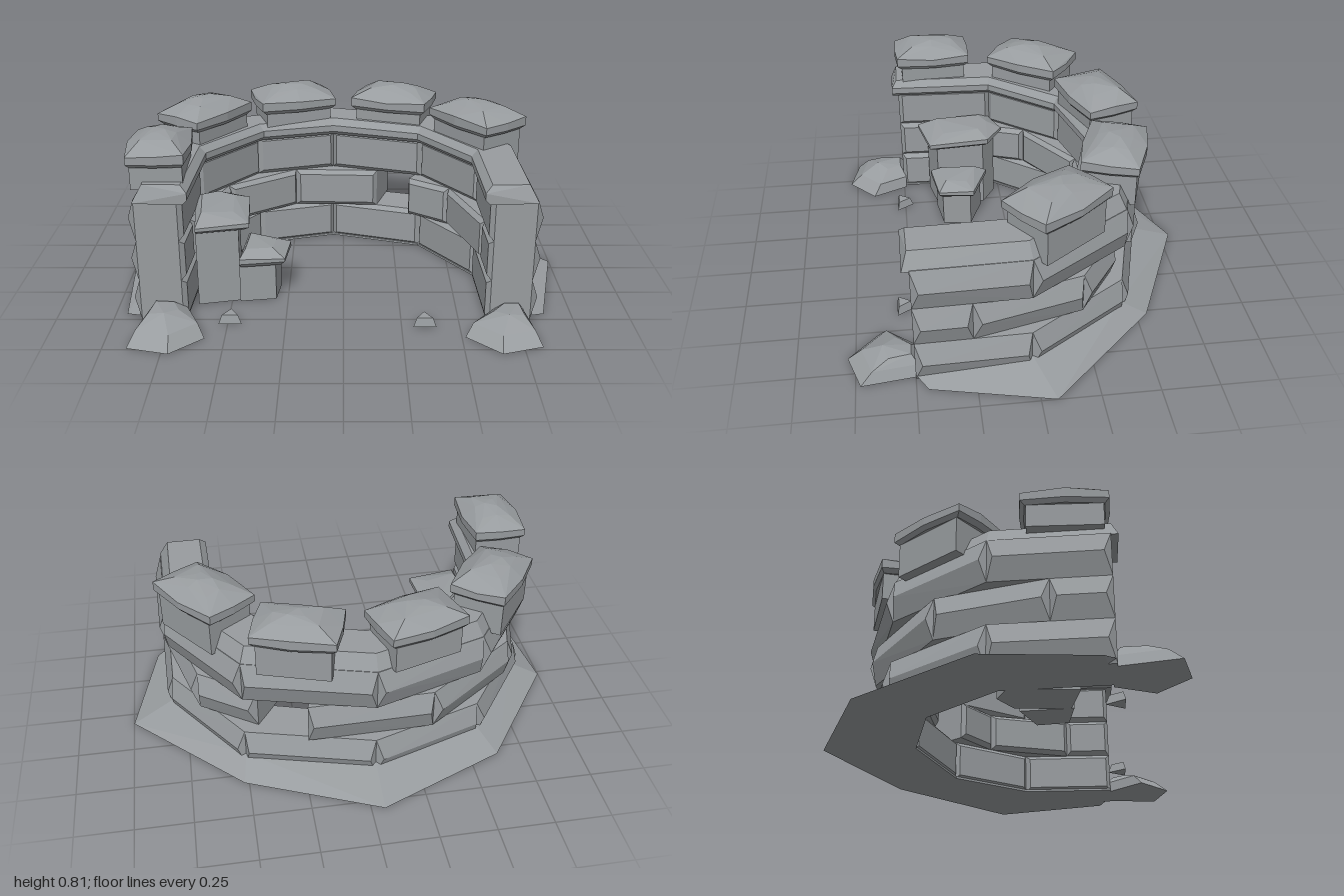
import * as THREE from 'three';
import { ConvexGeometry } from 'three/addons/geometries/ConvexGeometry.js';

const stone = new THREE.MeshStandardMaterial({ color: 0x989c9f });
stone.name = 'grey stone';

const V = (x, y, z) => new THREE.Vector3(x, y, z);

// Plan of the curved wall: [outerX, outerZ, innerX, innerZ], from the left end round to the right end
const nodes = [
  [0.81, 0.5, 0.62, 0.5],
  [0.80, 0.01, 0.61, 0.08],
  [0.50, -0.43, 0.375, -0.25],
  [-0.06, -0.58, -0.05, -0.38],
  [-0.56, -0.41, -0.41, -0.28],
  [-0.86, 0.01, -0.66, 0.04],
  [-0.875, 0.5, -0.68, 0.5],
];
const skirtRim = [[0.88, 0.45], [1, -0.07], [0.52, -0.55], [-0.06, -0.8], [-0.63, -0.55], [-1, -0.02], [-0.95, 0.45]];

const mix = (a, b, t) => a.map((v, i) => v + (b[i] - v) * t);

export function createModel() {
  const model = new THREE.Group();

  function hull(name, points) {
    const mesh = new THREE.Mesh(new ConvexGeometry(points), stone);
    mesh.name = name;
    model.add(mesh);
  }

  // Point on a brick: k = 0 outer face, 1 inner face; push moves it away from the wall core
  function at(a, b, t, k, push, y) {
    const n = mix(a, b, t);
    const d = V(n[0] - n[2], 0, n[1] - n[3]).normalize().multiplyScalar(k ? -push : push);
    return V(n[k * 2] + d.x, y, n[k * 2 + 1] + d.z);
  }

  // Wall brick with a pointed outer ridge and a bevelled inner face
  function brick(name, a, b, y0, y1) {
    const len = Math.hypot(a[0] - b[0], a[1] - b[1]);
    const p = [];
    for (const end of [0, 1]) {
      const inset = (d) => (end ? 1 - d / len : d / len);
      for (const y of [y0, y1]) {
        p.push(at(a, b, end, 0, 0, y), at(a, b, end, 1, -0.015, y));
        p.push(at(a, b, inset(0.02), 1, 0.005, y === y0 ? y0 + 0.02 : y1 - 0.02));
      }
      p.push(at(a, b, inset(0.03), 0, 0.033, (y0 + y1) / 2));
    }
    hull(name, p);
  }

  // Solid from a footprint repeated at several levels: [y, scale, shiftX, shiftZ]
  function stack(name, foot, levels, wobble = 0) {
    const cx = foot.reduce((s, p) => s + p[0], 0) / foot.length;
    const cz = foot.reduce((s, p) => s + p[1], 0) / foot.length;
    const p = [];
    levels.forEach(([y, s, dx = 0, dz = 0], j) => foot.forEach(([x, z], i) => {
      const w = j > 1 ? wobble * Math.sin(i * 2.3 + j * 1.7 + cx * 9) : 0;
      p.push(V(cx + (x - cx) * s + dx, y + w, cz + (z - cz) * s + dz));
    }));
    hull(name, p);
  }

  // Bottom and top courses share joints; the middle course is staggered
  for (let i = 0; i < 6; i++) {
    brick('bottomBrick', nodes[i], nodes[i + 1], 0, 0.19);
    brick('topBrick', nodes[i], nodes[i + 1], 0.375, 0.565);
  }
  const mids = [nodes[0]];
  for (let i = 0; i < 6; i++) {
    const m = mix(nodes[i], nodes[i + 1], 0.5);
    const out = i === 0 || i === 5 ? 1 : 1.05;
    mids.push([m[0] * out, m[1] * out, m[2], m[3]]);
  }
  mids.push(nodes[6]);
  for (let i = 0; i < 7; i++) {
    // The brick beside the window opening is cut short
    const end = i === 2 ? mix(mids[2], mids[3], 0.55) : mids[i + 1];
    brick('middleBrick', mids[i], end, 0.19, 0.375);
  }

  // Coping along the wall top, overhanging the inner side and both ends
  const cope = nodes.map((n, i) => (i % 6 ? n : [n[0], 0.53, n[2], 0.53]));
  for (let i = 0; i < 6; i++) {
    const p = [];
    for (const t of [0, 1]) {
      const tip = (i === 0 && t === 0) || (i === 5 && t === 1);
      const top = tip ? (i ? 0.95 : 0.05) : t;
      const a = cope[i], b = cope[i + 1];
      p.push(at(a, b, t, 0, 0, 0.56), at(a, b, top, 0, -0.04, 0.635));
      p.push(at(a, b, t, 1, 0.015, 0.555), at(a, b, t, 1, 0.035, 0.575));
      p.push(at(a, b, t, 1, 0.035, 0.605), at(a, b, top, 1, 0.005, 0.635));
    }
    hull('coping', p);
  }

  // Sloping earth skirt with a closed underside
  for (let i = 0; i < 6; i++) {
    const p = [];
    for (const j of [i, i + 1]) {
      const n = nodes[j], r = skirtRim[j], h = j % 6 ? 0.065 : 0.02;
      p.push(V(r[0], 0, r[1]), V(n[2], 0, n[3]), V(n[0], h, n[1]), V(n[2], 0.01, n[3]));
    }
    hull('groundSkirt', p);
  }

  // Merlons: [x, z, direction x, direction z, length, depth, cap base y, body base y]
  const merlons = [
    [-0.25, -0.43, 0.37, -0.12, 0.38, 0.27, 0.685, 0.56],
    [0.25, -0.42, 0.37, 0.12, 0.38, 0.27, 0.685, 0.54],
    [0.62, -0.11, 0.26, 0.35, 0.40, 0.27, 0.695, 0.54],
    [-0.65, -0.18, 0.24, -0.33, 0.39, 0.27, 0.695, 0.54],
    [-0.78, 0.32, 0.03, 1, 0.37, 0.26, 0.70, 0.6],
  ];
  for (const [x, z, dx, dz, len, dep, y, base] of merlons) {
    const l = Math.hypot(dx, dz), ux = dx / l, uz = dz / l;
    const place = (u, v) => [x + ux * u * len - uz * v * dep, z + uz * u * len + ux * v * dep];
    const body = [[-0.42, -0.42], [0.42, -0.42], [0.42, 0.42], [-0.42, 0.42]].map((q) => place(...q));
    const cap = [[-0.48, -0.46], [0, -0.52], [0.48, -0.46], [0.5, 0], [0.48, 0.46], [0, 0.52], [-0.48, 0.46], [-0.5, 0]]
      .map((q) => place(...q));
    stack('merlonBody', body, [[base, 1], [y + 0.02, 1]]);
    stack('merlonCap', cap, [[y, 0.9], [y + 0.018, 1], [y + 0.055, 1], [y + 0.095, 0.55], [y + 0.108, 0.2]], 0.006);
  }

  // Two steps up to the wall
  const steps = [
    [[[-0.56, -0.01], [-0.43, 0.07], [-0.41, 0.36], [-0.64, 0.41], [-0.68, 0.05]], 0.425],
    [[[-0.44, 0.08], [-0.24, 0.16], [-0.26, 0.33], [-0.46, 0.36]], 0.245],
  ];
  for (const [foot, top] of steps) {
    stack('stepBody', foot, [[0, 0.8], [top - 0.05, 0.8]].map(([y, s]) => [y, s, -0.025, 0]));
    stack('stepCap', foot, [[top - 0.07, 0.87, -0.01], [top - 0.05, 1], [top - 0.03, 1], [top, 0.6, -0.02]], 0.006);
  }

  // Boulders at the wall ends
  stack('boulder', [[-0.85, 0.49], [-0.9, 0.74], [-0.72, 0.785], [-0.585, 0.66], [-0.66, 0.49]],
    [[0, 1], [0.055, 0.8, 0, -0.03], [0.1, 0.4, -0.02, -0.06]], 0.008);
  stack('boulder', [[0.65, 0.49], [0.515, 0.65], [0.655, 0.785], [0.83, 0.73], [0.8, 0.49]],
    [[0, 1], [0.05, 0.8, 0, -0.03], [0.09, 0.4, 0.02, -0.06]], 0.008);

  // Loose pebbles
  for (const [x, z] of [[-0.49, 0.515], [0.35, 0.54]]) {
    stack('pebble', [[x, z - 0.055], [x - 0.05, z + 0.025], [x + 0.05, z + 0.025]], [[0, 1], [0.04, 0.7]]);
  }

  return model;
}
